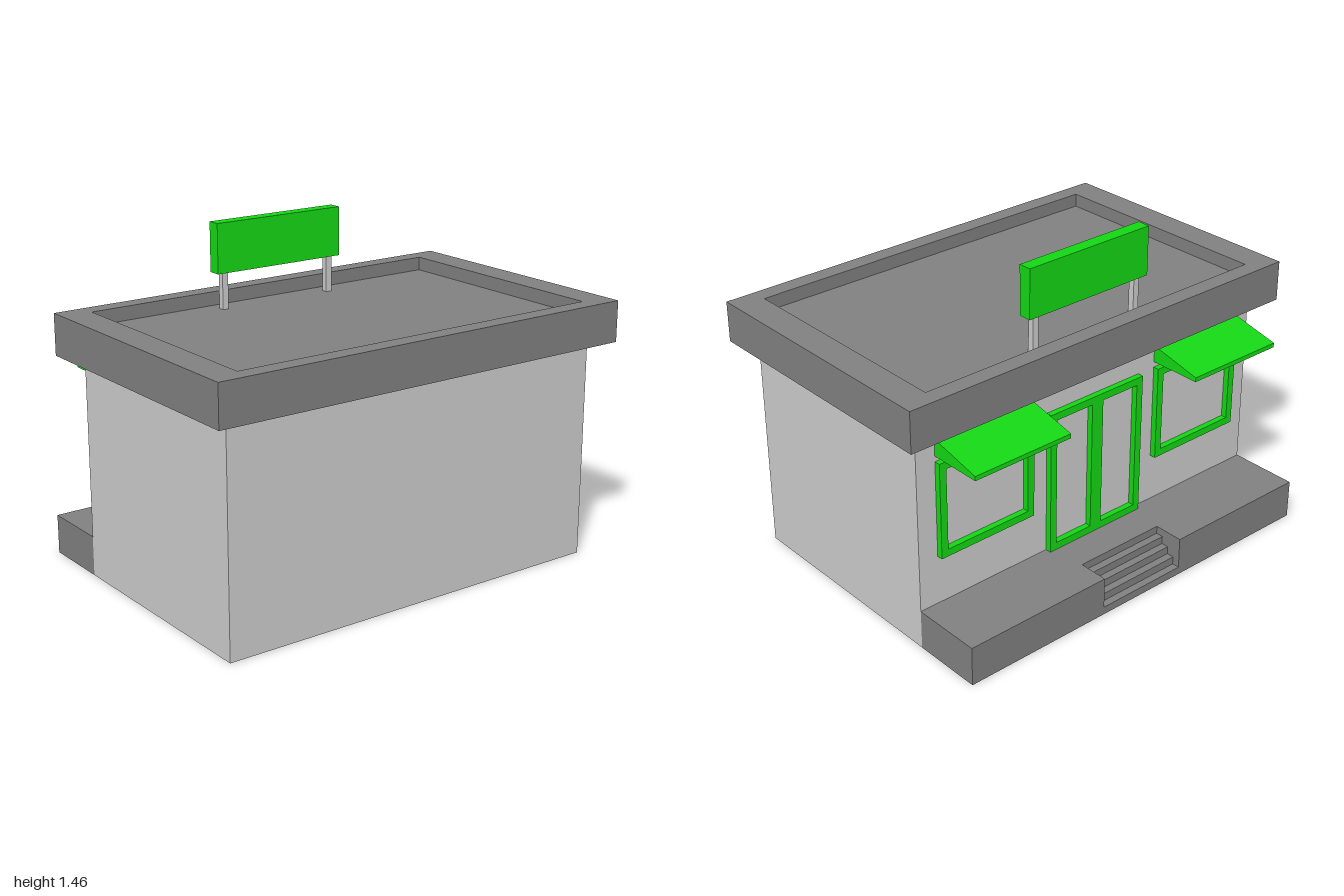
import * as THREE from 'three';

const material = (color, side = THREE.FrontSide) =>
  new THREE.MeshStandardMaterial({ color, side, flatShading: true });

export function createModel() {
  const model = new THREE.Group();
  model.name = 'shop';
  const grey = material(0xcccccc);
  const dark = material(0x808080);
  const green = material(0x14d714);
  const greyShell = material(0xcccccc, THREE.DoubleSide);
  const darkShell = material(0x808080, THREE.DoubleSide);

  const add = (name, geometry, mat, parent = model) => {
    const mesh = new THREE.Mesh(geometry, mat);
    mesh.name = name;
    parent.add(mesh);
    return mesh;
  };
  const group = (name) => {
    const g = new THREE.Group();
    g.name = name;
    model.add(g);
    return g;
  };
  // Box given by its lower and upper limits
  const box = (name, [x0, y0, z0], [x1, y1, z1], mat, parent) => add(name,
    new THREE.BoxGeometry(x1 - x0, y1 - y0, z1 - z0)
      .translate((x0 + x1) / 2, (y0 + y1) / 2, (z0 + z1) / 2), mat, parent);
  // Thin four-cornered panel
  const quad = (name, corners, mat, parent) => {
    const g = new THREE.BufferGeometry();
    g.setAttribute('position', new THREE.Float32BufferAttribute(corners.flat(), 3));
    g.setIndex([0, 1, 2, 0, 2, 3]);
    g.computeVertexNormals();
    return add(name, g, mat, parent);
  };
  // Upright panel above a line on the ground plan
  const upright = (name, [xa, za], [xb, zb], y0, y1, mat, parent) =>
    quad(name, [[xa, y0, za], [xb, y0, zb], [xb, y1, zb], [xa, y1, za]], mat, parent);
  const polygon = (points, Type = THREE.Shape) =>
    new Type(points.map(([x, y]) => new THREE.Vector2(x, y)));
  const rect = (x0, y0, x1, y1, Type) =>
    polygon([[x0, y0], [x1, y0], [x1, y1], [x0, y1]], Type);
  const extrude = (shape, depth) =>
    new THREE.ExtrudeGeometry(shape, { depth, bevelEnabled: false });

  const W = 0.915, back = 0.635, face = -0.41, front = -0.725;
  const deckY = 0.175, eaves = 0.967;

  // Walls, open underneath; the entrance wall starts at the deck
  const walls = group('walls');
  upright('rearWall', [-W, back], [W, back], 0, eaves, greyShell, walls);
  upright('entranceWall', [W, face], [-W, face], deckY, eaves, greyShell, walls);
  for (const s of [-1, 1])
    upright('sideWall', [s * W, back], [s * W, face], 0, eaves, greyShell, walls);

  // Roof: raised rim around a sunken floor
  const rim = rect(-1, -0.5, 1, 0.72);
  rim.holes.push(rect(-0.867, -0.423, 0.867, 0.643, THREE.Path));
  add('roofRim', extrude(rim, 0.18).rotateX(Math.PI / 2).translate(0, 1.145, 0), dark);
  box('roofFloor', [-0.867, 0.965, -0.423], [0.867, 1.085, 0.643], dark);

  // Sign on two posts
  box('signBoard', [-0.318, 1.245, -0.378], [0.318, 1.462, -0.32], green);
  for (const s of [-1, 1])
    box('signPost', [s * 0.273 - 0.014, 1.085, -0.362],
      [s * 0.273 + 0.014, 1.245, -0.334], grey);

  // Entrance deck with a notch for the stairs
  const deck = group('entranceDeck');
  const N = 0.217, notch = -0.59;
  const deckTop = polygon([[-W, face], [-W, front], [-N, front], [-N, notch],
    [N, notch], [N, front], [W, front], [W, face]]);
  add('deckTop', new THREE.ShapeGeometry(deckTop).rotateX(Math.PI / 2)
    .translate(0, deckY, 0), darkShell, deck);
  for (const s of [-1, 1]) {
    upright('deckSide', [s * W, face], [s * W, front], 0, deckY, darkShell, deck);
    upright('deckFront', [s * W, front], [s * N, front], 0, deckY, darkShell, deck);
    upright('stairCheek', [s * N, face], [s * N, front], 0, deckY, darkShell, deck);
  }

  // Stairs: five risers, four treads
  const stairs = group('stairs');
  const rise = deckY / 5, run = (notch - front) / 4;
  for (let i = 0; i < 5; i++) {
    const z = front + i * run, y = i * rise, top = y + rise;
    upright('riser', [N, z], [-N, z], y, top, darkShell, stairs);
    if (i < 4)
      quad('tread', [[-N, top, z], [-N, top, z + run], [N, top, z + run], [N, top, z]],
        darkShell, stairs);
  }

  // Frames standing out from the entrance wall
  const frame = (name, outer, openings) => {
    const shape = rect(...outer);
    for (const o of openings) shape.holes.push(rect(...o, THREE.Path));
    add(name, extrude(shape, 0.027).translate(0, 0, face - 0.027), green);
  };
  const t = 0.033, top = 0.825;
  frame('doubleDoorFrame', [-0.255, deckY, 0.255, top],
    [-1, 1].map((s) => [Math.min(s * 0.03, s * (0.255 - t)), deckY + t,
      Math.max(s * 0.03, s * (0.255 - t)), top - t]));

  // Windows and wedge-shaped awnings, mirrored
  const wedge = polygon([[face, 0.85], [face, 0.925], [-0.65, 0.87], [-0.65, 0.85]]);
  for (const s of [-1, 1]) {
    const a = s > 0 ? 0.345 : -0.823, b = a + 0.478;
    frame('windowFrame', [a, 0.395, b, top], [[a + t, 0.395 + t, b - t, top - t]]);
    add('awning', extrude(wedge, 0.478).rotateY(-Math.PI / 2)
      .translate(b, 0, 0), green);
  }
  return model;
}
